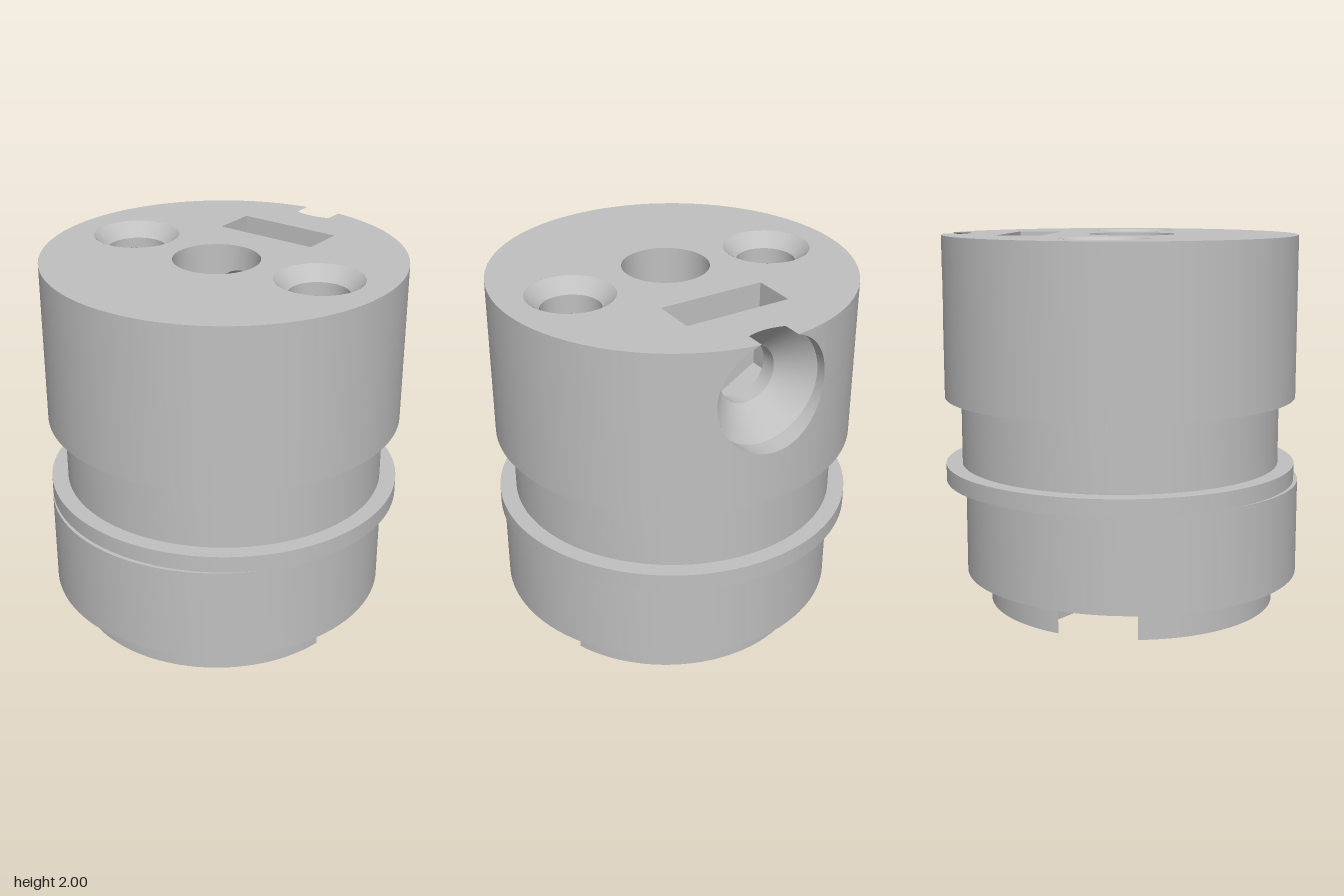
import * as THREE from 'three';
import { toCreasedNormals } from 'three/addons/utils/BufferGeometryUtils.js';

const PI = Math.PI;
const CX = 0.008, R = 0.953;            // upper body axis and radius
const LX = -0.056, HOLE = 0.228;        // lower body axis, central hole radius
const BY = 1.71, BORE = 0.157, SINK = 0.308; // side bore height, radius, countersink radius
const SX = 0.008, SZ = 0.585;           // screw hole position
const ROOF = 0.6;                       // top of the nut pockets

export function createModel() {
  const group = new THREE.Group();
  const grey = new THREE.MeshStandardMaterial({ color: 0xc0c0c0, side: THREE.DoubleSide });
  grey.name = 'grey';

  const add = (name, geo) => {
    const m = new THREE.Mesh(geo, grey);
    m.name = name;
    group.add(m);
    return m;
  };

  // Surface from a rule f(u, v) -> [x, y, z]
  const surface = (name, nu, nv, f) => {
    const pos = [], idx = [];
    for (let j = 0; j <= nv; j++)
      for (let i = 0; i <= nu; i++) pos.push(...f(i / nu, j / nv));
    for (let j = 0; j < nv; j++)
      for (let i = 0; i < nu; i++) {
        const a = j * (nu + 1) + i, b = a + nu + 1;
        idx.push(a, a + 1, b, a + 1, b + 1, b);
      }
    const g = new THREE.BufferGeometry();
    g.setAttribute('position', new THREE.Float32BufferAttribute(pos, 3));
    g.setIndex(idx);
    return add(name, toCreasedNormals(g, 0.5));
  };

  const arc = (cx, cz, r, a0 = 0, a1 = 2 * PI, n = 96) =>
    Array.from({ length: n + 1 }, (_, i) => {
      const a = a0 + (a1 - a0) * i / n;
      return new THREE.Vector2(cx + r * Math.cos(a), cz + r * Math.sin(a));
    });
  const circle = (cx, cz, r) => arc(cx, cz, r).slice(0, -1);
  const hexagon = (cz) => arc(SX, cz, 0.3, 0, 2 * PI, 6).slice(0, -1);

  const shapeOf = (pts, holes) => {
    const s = new THREE.Shape(pts);
    s.holes = holes.map((h) => new THREE.Path(h));
    return s;
  };
  // Horizontal face; every outline is symmetric in z
  const flat = (name, y, up, pts, holes = []) => {
    const g = new THREE.ShapeGeometry(shapeOf(pts, holes));
    g.rotateX(up ? -PI / 2 : PI / 2).translate(0, y, 0);
    return add(name, g);
  };
  // Upright wall along a closed outline
  const wall = (name, pts, y0, y1) =>
    surface(name, pts.length, 1, (u, v) => {
      const p = pts[Math.round(u * pts.length) % pts.length];
      return [p.x, y0 + (y1 - y0) * v, -p.y];
    });

  // Round wall pierced on its +x side by a bore of radius r
  const piercedWall = (name, cx, rad, y0, y1, r) => {
    const a = Math.asin(r / rad);
    surface(name, 96, 1, (u, v) => {
      const t = a + (2 * PI - 2 * a) * u;
      return [cx + rad * Math.cos(t), y0 + (y1 - y0) * v, -rad * Math.sin(t)];
    });
    for (const above of [false, true])
      surface(name + (above ? 'AboveBore' : 'BelowBore'), 64, 1, (u, v) => {
        const z = r * Math.cos(PI * u), h = r * Math.abs(Math.sin(PI * u));
        const lo = above ? Math.min(y1, BY + h) : y0, hi = above ? y1 : BY - h;
        return [cx + Math.sqrt(rad * rad - z * z), lo + (hi - lo) * v, z];
      });
  };

  // Upper body, neck, flange, lower body
  piercedWall('upperBody', CX, R, 1.135, 2, SINK);
  flat('upperBodyUnderside', 1.135, false, circle(CX, 0, R), [circle(CX, 0, 0.86)]);
  wall('neck', circle(CX, 0, 0.865), 0.77, 1.135);
  flat('flangeTop', 0.77, true, circle(CX, 0, R), [circle(CX, 0, 0.86)]);
  wall('flange', circle(CX, 0, R), 0.68, 0.77);
  flat('flangeUnderside', 0.68, false, circle(CX, 0, R), [circle(LX, 0, 0.82)]);
  flat('lowerBodyTop', 0.68, true, circle(LX, 0, 0.91), [circle(LX, 0, 0.82)]);
  wall('lowerBody', circle(LX, 0, 0.91), 0.17, 0.68);

  // Top face, notched where the side countersink breaks through
  const dy = 2 - BY, nz = Math.sqrt(SINK * SINK - dy * dy), sinkX = 0.853;
  const a0 = Math.asin(nz / R);
  const top = arc(CX, 0, R, a0, 2 * PI - a0, 120);
  for (let i = 0; i <= 12; i++) {
    const z = -nz + 2 * nz * i / 12;
    top.push(new THREE.Vector2(sinkX - SINK + Math.hypot(z, dy), z));
  }
  const slot = [[0.38, -0.29], [0.615, -0.29], [0.615, 0.29], [0.38, 0.29]]
    .map((p) => new THREE.Vector2(...p));
  flat('topFace', 2, true, top,
    [circle(LX, 0, HOLE), circle(SX, SZ, 0.23), circle(SX, -SZ, 0.23), slot]);

  // Central hole
  piercedWall('centralHole', LX, HOLE, 0, 2, BORE);

  // Side countersink: straight rim, then a cone down to the bore
  const open = Math.asin(dy / SINK);
  surface('sideCounterbore', 80, 1, (u, v) => {
    const t = PI - open + (PI + 2 * open) * u;
    const z = SINK * Math.cos(t), y = BY + SINK * Math.sin(t);
    const out = CX + Math.sqrt(R * R - z * z);
    return [sinkX + (out - sinkX) * v, y, z];
  });
  surface('sideCountersink', 128, 1, (u, v) => {
    const t = 2 * PI * u, s = Math.sin(t);
    const rMax = s > 0 ? Math.min(SINK, dy / s) : SINK;
    const r = BORE + (rMax - BORE) * v;
    return [sinkX - SINK + r, BY + r * s, r * Math.cos(t)];
  });
  // Side bore on each side of the nut slot
  surface('boreOuter', 48, 1, (u, v) => {
    const t = 2 * PI * u;
    return [0.615 + (sinkX - SINK + BORE - 0.615) * v, BY + BORE * Math.sin(t), BORE * Math.cos(t)];
  });
  surface('boreInner', 48, 1, (u, v) => {
    const t = 2 * PI * u, z = BORE * Math.cos(t);
    const x0 = LX + Math.sqrt(HOLE * HOLE - z * z);
    return [x0 + (0.38 - x0) * v, BY + BORE * Math.sin(t), z];
  });

  // Nut slot with a pointed floor
  const section = [[-0.29, 2], [-0.29, BY], [-0.265, BY], [-0.265, BY - 0.153], [0, BY - 0.306],
    [0.265, BY - 0.153], [0.265, BY], [0.29, BY], [0.29, 2]].map((p) => new THREE.Vector2(...p));
  surface('nutSlot', 8, 1, (u, v) => {
    const p = section[Math.round(u * 8)];
    return [0.38 + 0.235 * v, p.y, p.x];
  });
  for (const [x, turn] of [[0.38, 1], [0.615, -1]]) {
    const g = new THREE.ShapeGeometry(shapeOf(section, [circle(0, BY, BORE)]));
    add('nutSlotSide', g.rotateY(turn * PI / 2).translate(x, 0, 0));
  }

  // Countersunk screw holes ending in hexagonal nut pockets
  for (const s of [1, -1]) {
    const profile = [[0.23, 2], [BORE, 1.925], [BORE, ROOF]].map((p) => new THREE.Vector2(...p));
    const g = toCreasedNormals(new THREE.LatheGeometry(profile, 48), 0.5);
    add('screwHole', g.translate(SX, 0, s * SZ));
    flat('nutPocketRoof', ROOF, false, hexagon(s * SZ), [circle(SX, s * SZ, BORE)]);
    wall('nutPocket', hexagon(s * SZ), 0.17, ROOF);
  }

  // Bottom spigot, its rim cut open by the nut pockets
  const outline = (mid) => {
    const half = [...arc(LX, 0, 0.78, 0, 1.196, 32),
      ...mid.map((p) => new THREE.Vector2(SX + p[0], SZ + p[1])),
      ...arc(LX, 0, 0.78, 1.738, PI, 32)];
    const back = half.slice(1, -1).reverse().map((p) => new THREE.Vector2(p.x, -p.y));
    return [...half, ...back];
  };
  const spigot = outline([[0.3, 0], [0.15, -0.26], [-0.15, -0.26], [-0.3, 0]]);
  const shoulderHole = outline([[0.15, 0.26], [-0.15, 0.26]]);
  wall('spigot', spigot, 0, 0.17);
  flat('spigotUnderside', 0, false, spigot, [circle(LX, 0, HOLE)]);
  flat('lowerBodyUnderside', 0.17, false, circle(LX, 0, 0.91), [shoulderHole]);

  return group;
}
